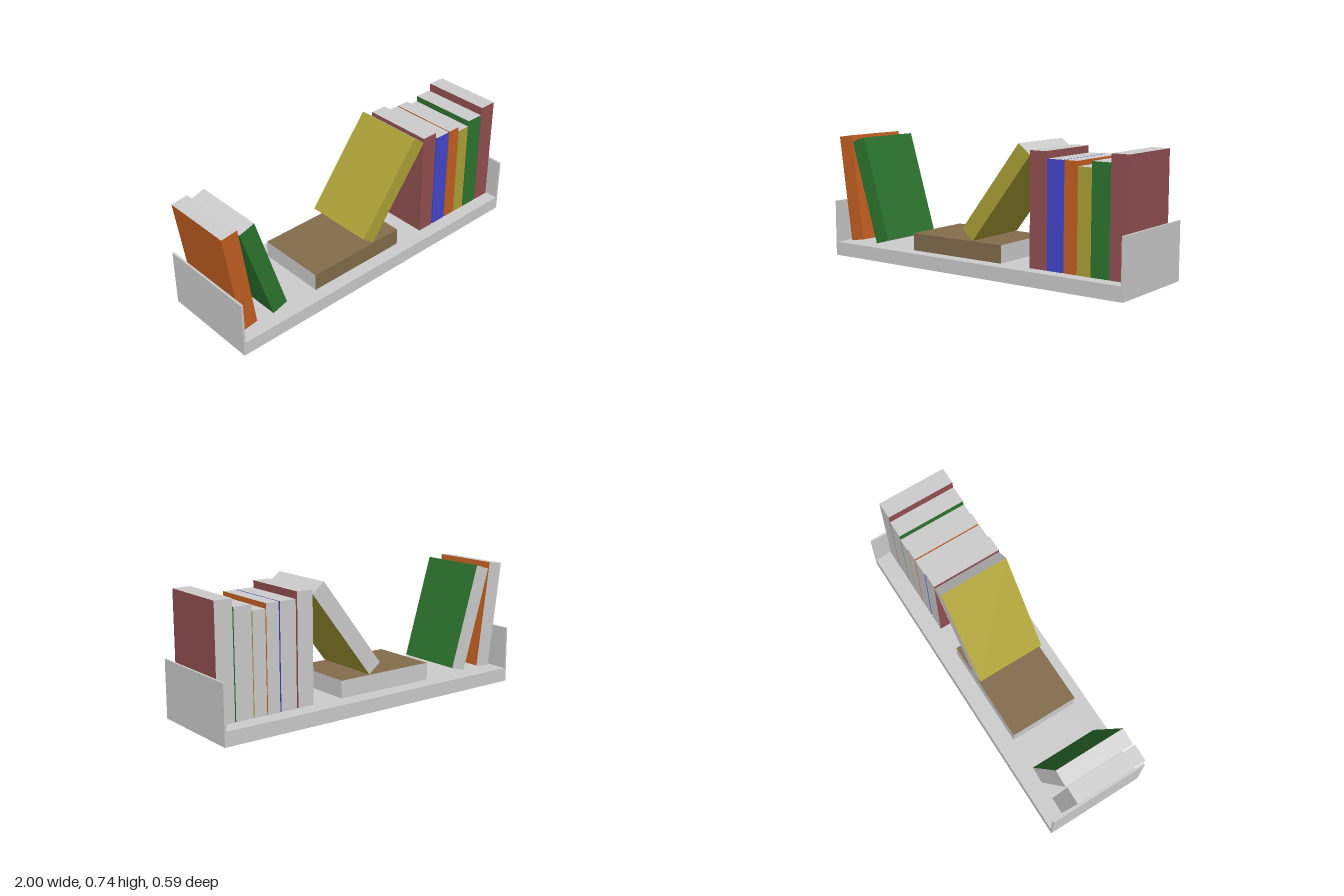
import * as THREE from 'three';

const material = (name, color) => {
  const m = new THREE.MeshStandardMaterial({ color });
  m.name = name;
  return m;
};

export function createModel() {
  const group = new THREE.Group();
  group.name = 'bookShelf';

  const grey = material('light grey', 0xcccccc);
  const orange = material('orange', 0xc46022);
  const green = material('green', 0x2d752f);
  const yellow = material('yellow', 0xada137);
  const maroon = material('maroon', 0x935052);
  const blue = material('blue', 0x4347cc);
  const brown = material('brown', 0x836c4c);

  const box = (name, w, h, d, x, y, z, mat) => {
    const mesh = new THREE.Mesh(new THREE.BoxGeometry(w, h, d), mat);
    mesh.name = name;
    mesh.position.set(x, y, z);
    group.add(mesh);
    return mesh;
  };

  // Shelf board with a thin upright panel at each end
  const boardTop = 0.08;
  box('shelfBoard', 1.968, boardTop, 0.59, 0.014, boardTop / 2, 0, grey);
  for (const [name, x] of [['rightEndPanel', -0.964], ['leftEndPanel', 0.992]]) {
    box(name, 0.012, 0.328 - boardTop, 0.59, x, (0.328 + boardTop) / 2, 0, grey);
  }

  // A book: coloured covers (sides) and spine (front), grey page edges elsewhere
  const book = (name, cover, w, h, x, y, tilt = 0) => {
    const faces = [cover, cover, grey, grey, cover, grey];
    box(name, w, h, 0.412, x, y, 0.011, faces).rotation.z = tilt;
  };

  // Upright row: cover, left edge, right edge, top
  const row = [
    [maroon, 0.39, 0.488, 0.703],
    [blue, 0.497, 0.595, 0.665],
    [orange, 0.602, 0.678, 0.665],
    [yellow, 0.683, 0.76, 0.638],
    [green, 0.765, 0.869, 0.67],
    [maroon, 0.875, 0.978, 0.715],
  ];
  row.forEach(([cover, x0, x1, top], i) =>
    book(`uprightBook${i + 1}`, cover, x1 - x0, top - boardTop, (x0 + x1) / 2, (top + boardTop) / 2));

  // Leaning books and the one lying flat
  book('leaningOrangeBook', orange, 0.097, 0.625, -0.911, 0.4, 0.136);
  book('leaningGreenBook', green, 0.097, 0.621, -0.757, 0.397, 0.298);
  book('leaningYellowBook', yellow, 0.094, 0.624, 0.163, 0.459, -0.655);
  book('flatBrownBook', brown, 0.1, 0.62, -0.108, boardTop + 0.05, Math.PI / 2);

  return group;
}
